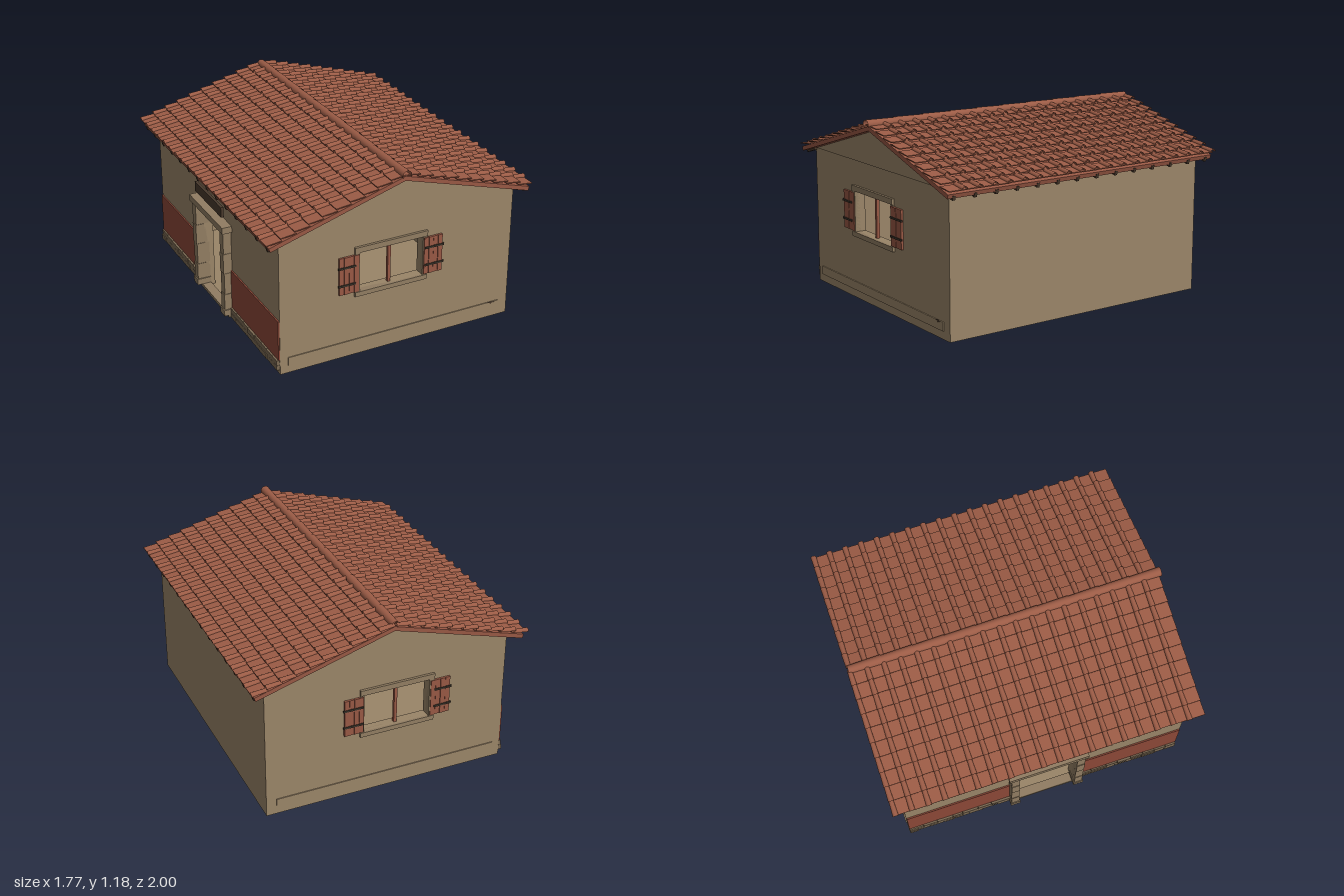
import * as THREE from 'three';
import { mergeGeometries } from 'three/addons/utils/BufferGeometryUtils.js';

const mat = (name, color, side = THREE.FrontSide) => {
  const m = new THREE.MeshStandardMaterial({ color, side });
  m.name = name;
  return m;
};

// Box from min and max corners
const span = (x0, x1, y0, y1, z0, z1) =>
  new THREE.BoxGeometry(x1 - x0, y1 - y0, z1 - z0)
    .translate((x0 + x1) / 2, (y0 + y1) / 2, (z0 + z1) / 2);

let seed = 7;
const rand = () => (seed = (seed * 16807) % 2147483647) / 2147483647;

export function createModel() {
  const plaster = mat('plaster', 0x9a8568);
  const stone = mat('stone', 0x917d62);
  const brick = mat('plinth stone', 0x7c6a53);
  const clay = mat('roof clay', 0x9c5c46, THREE.DoubleSide);
  const redWood = mat('red wood', 0x985844);
  const redPaint = mat('red paint', 0x8c4838);
  const darkWood = mat('dark wood', 0x4a3a2d);
  const iron = mat('iron', 0x3b332a);

  const house = new THREE.Group();
  house.name = 'house';
  const add = (name, geometries, material, parent = house) => {
    const list = [].concat(geometries);
    const mesh = new THREE.Mesh(list.length > 1 ? mergeGeometries(list) : list[0], material);
    mesh.name = name;
    parent.add(mesh);
    return mesh;
  };

  // Floor and long walls, with a doorway in the right one
  add('floor', span(-0.78, 0.785, 0, 0.03, -0.925, 0.925), plaster);
  add('leftWall', span(0.725, 0.785, 0.03, 0.885, -0.865, 0.865), plaster);
  add('rightWall', [
    span(-0.78, -0.72, 0.03, 0.885, -0.865, -0.185),
    span(-0.78, -0.72, 0.03, 0.885, 0.195, 0.865),
    span(-0.78, -0.72, 0.62, 0.885, -0.185, 0.195)
  ], plaster);

  // Gable ends with window openings; the back mirrors the front
  for (const s of [1, -1]) {
    const end = new THREE.Group();
    end.name = s > 0 ? 'frontEnd' : 'backEnd';
    house.add(end);
    const zSpan = (x0, x1, y0, y1, z0, z1) =>
      s > 0 ? span(x0, x1, y0, y1, z0, z1) : span(x0, x1, y0, y1, -z1, -z0);

    const wall = new THREE.Shape([[-0.78, 0.03], [0.785, 0.03], [0.785, 0.885], [-0.78, 0.885]]
      .map(p => new THREE.Vector2(...p)));
    wall.holes.push(new THREE.Path([[-0.265, 0.432], [-0.265, 0.692], [0.16, 0.692], [0.16, 0.432]]
      .map(p => new THREE.Vector2(...p))));
    add('endWall', new THREE.ExtrudeGeometry(wall, { depth: 0.06, bevelEnabled: false })
      .translate(0, 0, s > 0 ? 0.865 : -0.925), plaster, end);

    const gable = new THREE.Shape([[-0.78, 0.885], [0.785, 0.885], [0, 1.118]]
      .map(p => new THREE.Vector2(...p)));
    add('gable', new THREE.ExtrudeGeometry(gable, { depth: 0.065, bevelEnabled: false })
      .translate(0, 0, s > 0 ? 0.865 : -0.93), plaster, end);

    add('plasterBand', zSpan(-0.73, 0.72, 0.05, 0.105, 0.925, 0.931), plaster, end);

    add('windowFrame', [
      zSpan(-0.297, 0.187, 0.692, 0.727, 0.9, 0.941),
      zSpan(-0.297, 0.187, 0.402, 0.432, 0.9, 0.941),
      zSpan(-0.297, -0.265, 0.432, 0.692, 0.9, 0.937),
      zSpan(0.16, 0.187, 0.432, 0.692, 0.9, 0.932)
    ], stone, end);
    add('windowMullion', zSpan(-0.065, -0.046, 0.432, 0.692, 0.89, 0.91), redWood, end);

    // Plank shutters with iron straps
    for (const [name, x0, x1] of [['rightShutter', -0.402, -0.272], ['leftShutter', 0.165, 0.29]]) {
      const w = (x1 - x0) / 4, planks = [];
      for (let i = 0; i < 4; i++)
        planks.push(zSpan(x0 + i * w + 0.001, x0 + (i + 1) * w - 0.001, 0.437, 0.68, 0.926, 0.939 + (i % 2) * 0.002));
      add(name, planks, redWood, end);
      const a = x0 < 0 ? x0 - 0.007 : x0 + 0.005, b = x0 < 0 ? -0.295 : x1 + 0.008;
      add(name + 'Straps', [0.498, 0.614].map(y => zSpan(a, b, y - 0.006, y + 0.006, 0.936, 0.946)), iron, end);
    }
  }

  // Small chip in the front plaster
  const chip = new THREE.Shape([[0.64, 0.107], [0.655, 0.1], [0.665, 0.09], [0.672, 0.098], [0.69, 0.1], [0.67, 0.108]]
    .map(p => new THREE.Vector2(...p)));
  add('plasterChip', new THREE.ExtrudeGeometry(chip, { depth: 0.003, bevelEnabled: false })
    .translate(0, 0, 0.93), darkWood);

  // Doorway: stacked stone jambs, lintel, base blocks
  const jambs = [];
  for (const [z0, z1] of [[-0.238, -0.185], [0.195, 0.248]]) {
    const cuts = [0.09, 0.2, 0.345, 0.48, 0.62];
    for (let i = 0; i < 4; i++)
      jambs.push(span(-0.836 + (i % 2) * 0.003, -0.75, cuts[i] + 0.001, cuts[i + 1] - 0.001, z0, z1));
    jambs.push(span(-0.842, -0.75, 0.05, 0.09, z0 - 0.006, z1 + 0.006));
  }
  add('doorJambs', jambs, stone);
  add('doorLintel', [
    span(-0.843, -0.75, 0.628, 0.67, -0.255, 0.265),
    span(-0.83, -0.75, 0.618, 0.63, -0.238, 0.248)
  ], stone);
  add('doorSill', span(-0.81, -0.75, 0.03, 0.05, -0.238, 0.248), stone);

  // Hanging board above the door
  add('doorBoard', span(-0.82, -0.802, 0.708, 0.775, -0.21, 0.2), darkWood);
  add('boardPegs', [-0.15, 0.14].map(z => span(-0.805, -0.775, 0.735, 0.747, z - 0.006, z + 0.006)), iron);

  // Painted dado and stone plinth on both sides of the door
  const stones = [];
  for (const [z0, z1] of [[-0.922, -0.238], [0.248, 0.922]]) {
    add('paintedDado', span(-0.789, -0.778, 0.098, 0.36, z0, z1), redPaint);
    for (let row = 0; row < 2; row++) {
      const y = 0.03 + row * 0.034;
      let z = z0;
      while (z < z1 - 0.01) {
        let e = z + 0.06 + rand() * 0.05;
        if (e > z1 - 0.04) e = z1;
        stones.push(span(-0.797 - rand() * 0.006, -0.778, y, y + 0.032, z, e - 0.003));
        z = e;
      }
    }
  }
  add('stonePlinth', stones, brick);

  // Roof slopes; u runs down the slope, v points off it
  const angle = Math.atan(0.297), pitch = 0.0905, tilt = 0.17;
  for (const s of [1, -1]) {
    const slope = new THREE.Group();
    slope.name = s > 0 ? 'leftRoofSlope' : 'rightRoofSlope';
    slope.position.y = 1.14;
    slope.rotation.z = -s * angle;
    house.add(slope);
    const turn = g => (s > 0 ? g : g.rotateY(Math.PI));

    add('roofBoards', turn(span(-0.004, 0.9, -0.027, 0, -0.982, 0.982)), redWood, slope);
    const rafters = [];
    for (let i = 0; i < 14; i++)
      rafters.push(turn(span(0.8, 0.903, -0.04, -0.012, -0.01, 0.01)).translate(0, 0, 0.94 - i * 0.1446));
    add('rafterTips', rafters, darkWood, slope);

    const pans = [], covers = [];
    for (let c = 0; c < 10; c++) {
      const u = (c + 0.5) * pitch;
      for (let i = 0; i < 19; i++) {
        const z = -0.982 + i * 0.1036, lift = rand() * 0.003;
        // Flat pan between two cover rows
        pans.push(turn(new THREE.BoxGeometry(0.098, 0.006, 0.102).rotateZ(tilt)
          .translate(u + rand() * 0.003, 0.014 + lift, 0))
          .translate(0, 0, z + 0.0505));
        // Half-round cover tile
        covers.push(turn(new THREE.CylinderGeometry(0.018, 0.015, 0.1, 8, 1, true, Math.PI, Math.PI)
          .rotateZ(-Math.PI / 2).rotateZ(tilt)
          .translate(u + 0.002 + rand() * 0.004, 0.018 + lift, 0))
          .translate(0, 0, z));
      }
    }
    add('panTiles', pans, clay, slope);
    add('coverTiles', covers, clay, slope);
  }

  // Overlapping half-round ridge tiles
  const ridge = [];
  for (let i = 0; i < 10; i++)
    ridge.push(new THREE.CylinderGeometry(0.03, 0.026, 0.21, 12, 1, true, Math.PI * 0.38, Math.PI * 1.24)
      .rotateX(Math.PI / 2).translate(0, 1.151, -0.885 + i * 0.1978));
  add('ridgeTiles', ridge, clay);

  return house;
}
